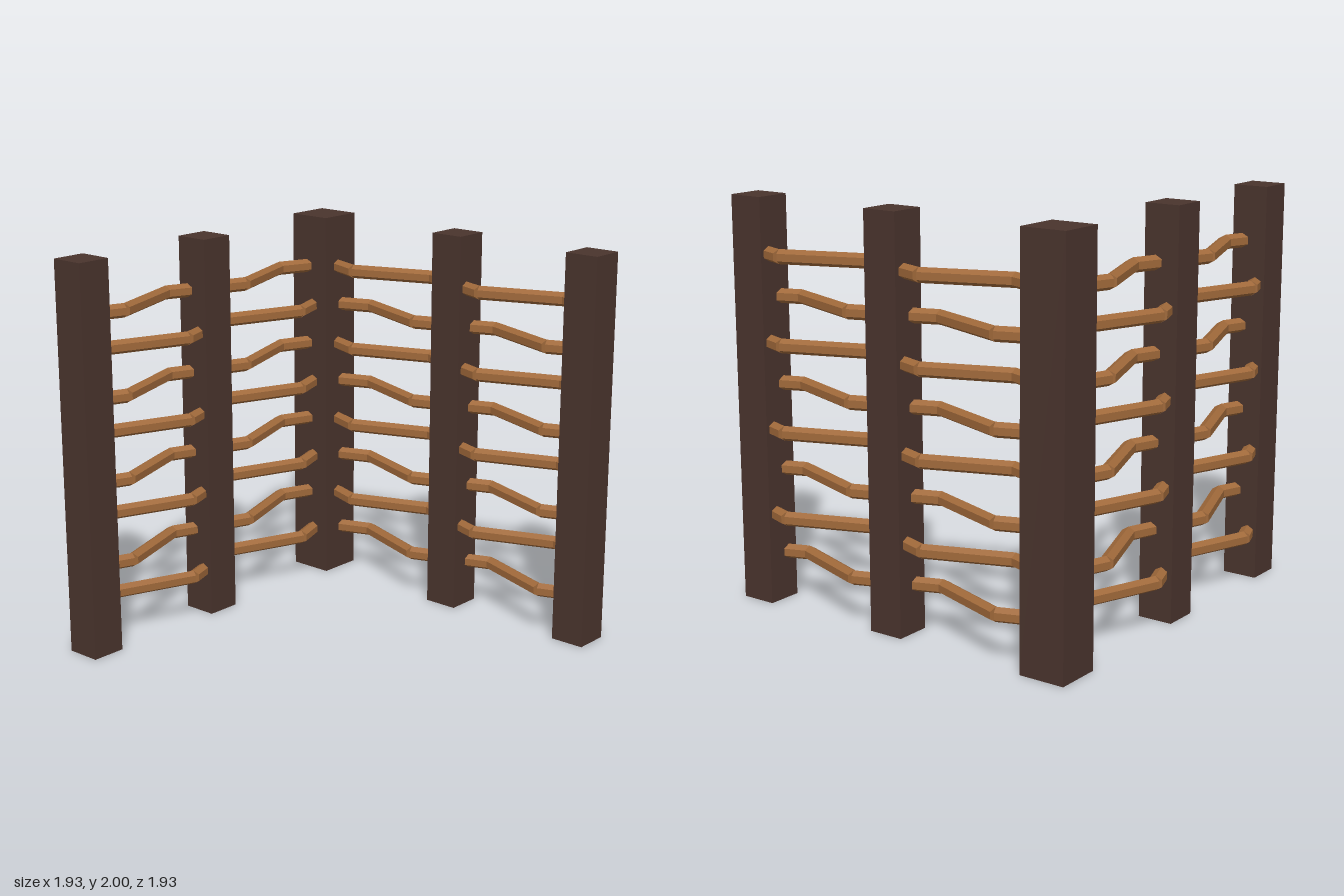
import * as THREE from 'three';

const AXIS = -0.853;          // line on which both fence arms stand
const BAYS = [-0.365, 0.472]; // bay centres along each arm
const HALF = 0.21;            // bend distance from the bay centre
const SWING = 0.076;          // bend distance from the arm line
const ROWS = 8;

export function createModel() {
  const model = new THREE.Group();
  model.name = 'cornerFence';
  const postWood = new THREE.MeshStandardMaterial({ color: 0x4a342d });
  postWood.name = 'darkPostWood';
  const railWood = new THREE.MeshStandardMaterial({ color: 0xa0693a });
  railWood.name = 'railWood';

  // Square posts, full height
  function addPost(name, x, z, size) {
    const post = new THREE.Mesh(new THREE.BoxGeometry(size, 2, size), postWood);
    post.name = name;
    post.position.set(x, 1, z);
    model.add(post);
  }
  addPost('cornerPost', AXIS, AXIS, 0.234);
  addPost('backMiddlePost', 0.058, AXIS, 0.18);
  addPost('backEndPost', 0.875, AXIS, 0.18);
  addPost('sideMiddlePost', AXIS, 0.058, 0.18);
  addPost('sideEndPost', AXIS, 0.875, 0.18);

  // Faceted six-sided bar along x with a ridge on top
  function barGeometry(length) {
    const g = new THREE.CylinderGeometry(0.036, 0.036, length, 6, 1, false, Math.PI / 2)
      .rotateZ(Math.PI / 2).toNonIndexed();
    g.computeVertexNormals();
    return g;
  }
  const slope = Math.atan2(SWING, HALF);
  const longBar = barGeometry(2 * Math.hypot(HALF, SWING));
  const shortLength = 0.19;
  const shortBar = barGeometry(shortLength);

  // Bent rail along x: a diagonal middle and two ends turning back to the posts
  function makeRail(sign) {
    const rail = new THREE.Group();
    rail.name = 'bentRail';
    const middle = new THREE.Mesh(longBar, railWood);
    middle.name = 'railMiddle';
    middle.rotation.y = sign * slope;
    rail.add(middle);
    for (const end of [-1, 1]) {
      const tip = new THREE.Mesh(shortBar, railWood);
      tip.name = 'railEnd';
      tip.rotation.y = -sign * slope;
      tip.position.set(
        end * (HALF + shortLength / 2 * Math.cos(slope)), 0,
        -end * sign * (SWING - shortLength / 2 * Math.sin(slope)));
      rail.add(tip);
    }
    return rail;
  }

  // Rows of rails, alternating their bend, on both arms
  for (let i = 0; i < ROWS; i++) {
    const y = 0.237 + i * 0.213;
    const sign = i % 2 ? 1 : -1;
    for (const bay of BAYS) {
      const back = makeRail(sign);
      back.position.set(bay, y, AXIS);
      const side = makeRail(sign);
      side.rotation.y = Math.PI / 2;
      side.position.set(AXIS, y, bay);
      model.add(back, side);
    }
  }
  return model;
}
